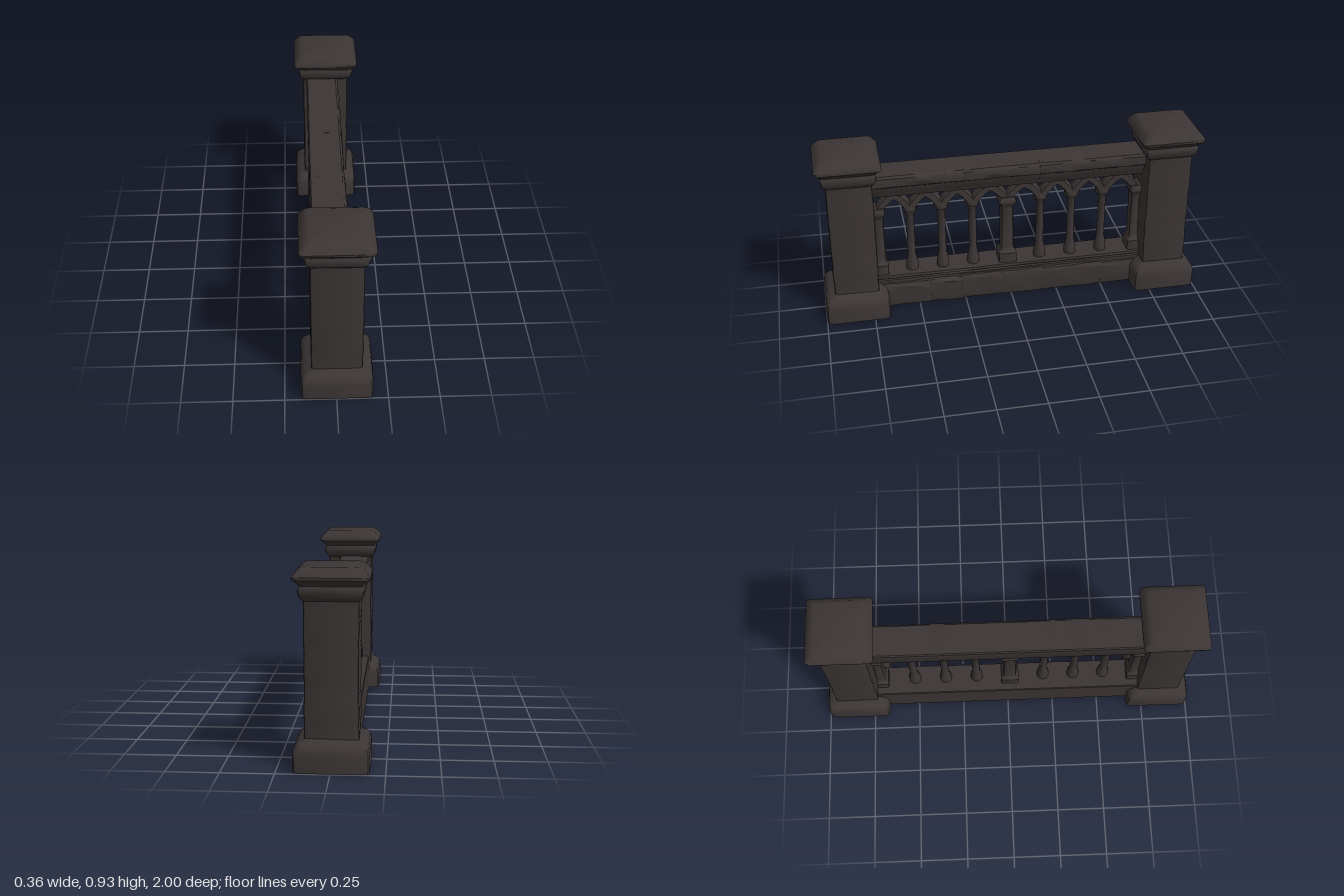
import * as THREE from 'three';
import { toCreasedNormals } from 'three/addons/utils/BufferGeometryUtils.js';

// small seeded random in -1..1
function makeRandom(seed) {
  let s = seed;
  return () => {
    s = (s * 16807) % 2147483647;
    return (s / 2147483647) * 2 - 1;
  };
}

// skin through rings of equal length, counter-clockwise about the direction of travel
function loft(rings, { crease = 0.55, closed = true, startCap = true, endCap = true } = {}) {
  const n = rings[0].length;
  const pos = rings.flat().flatMap((p) => [p.x, p.y, p.z]);
  const idx = [];
  for (let r = 0; r < rings.length - 1; r++) {
    for (let i = 0; i < (closed ? n : n - 1); i++) {
      const a = r * n + i, b = r * n + (i + 1) % n;
      idx.push(a, b, b + n, a, b + n, a + n);
    }
  }
  const addCap = (end, flip) => {
    const c = new THREE.Vector3();
    rings[end].forEach((p) => c.addScaledVector(p, 1 / n));
    const ci = pos.length / 3;
    pos.push(c.x, c.y, c.z);
    for (let i = 0; i < n; i++) {
      const a = end * n + i, b = end * n + (i + 1) % n;
      if (flip) idx.push(ci, b, a);
      else idx.push(ci, a, b);
    }
  };
  if (startCap) addCap(0, true);
  if (endCap) addCap(rings.length - 1, false);
  const g = new THREE.BufferGeometry();
  g.setAttribute('position', new THREE.Float32BufferAttribute(pos, 3));
  g.setIndex(idx);
  return toCreasedNormals(g, crease);
}

// square ring with softened corners at height y
function squareRing(y, hx, hz, cut, wobble = () => 0) {
  const pts = [];
  const corners = [[1, -1], [-1, -1], [-1, 1], [1, 1]];
  corners.forEach(([sx, sz], i) => {
    const a = [sx * hx, sz * (hz - cut)], b = [sx * (hx - cut), sz * hz];
    const m = [sx * (hx - cut * 0.3), sz * (hz - cut * 0.3)];
    const order = i % 2 === 0 ? [a, m, b] : [b, m, a];
    const w = wobble();
    order.forEach(([x, z]) => pts.push(new THREE.Vector3(x + sx * w, y, z + sz * w)));
  });
  return pts;
}

// solid from [height, half x, half z, corner cut] levels
const squareSolid = (levels, wobble, options) => loft(levels.map((l) => squareRing(...l, wobble)), options);

// bar along z: profile is [x, y, roughness], repeated between z0 and z1
function bar(profile, z0, z1, steps, rnd, options) {
  const rings = [];
  for (let s = 0; s <= steps; s++) {
    const z = z0 + ((z1 - z0) * s) / steps;
    rings.push(profile.map(([x, y, k]) => new THREE.Vector3(x - Math.abs(rnd()) * k, y + rnd() * k * 0.4, z)));
  }
  return loft(rings, options);
}

export function createModel() {
  const model = new THREE.Group();
  model.name = 'stoneBalustrade';
  const stone = new THREE.MeshStandardMaterial({ color: 0x3c3535, side: THREE.DoubleSide });
  stone.name = 'dark stone';
  const rnd = makeRandom(731);
  const add = (name, geometry, x = 0, y = 0, z = 0, parent = model) => {
    const mesh = new THREE.Mesh(geometry, stone);
    mesh.name = name;
    mesh.position.set(x, y, z);
    parent.add(mesh);
    return mesh;
  };

  // end pillars: hollow plinth open below, shaft and moulded cap
  for (const side of [1, -1]) {
    const pillar = new THREE.Group();
    pillar.name = side > 0 ? 'frontPillar' : 'backPillar';
    pillar.position.set(side * 0.003, 0, side * 0.832);
    model.add(pillar);
    add('plinth', squareSolid([
      [0, 0.175, 0.168, 0.024], [0.09, 0.175, 0.168, 0.026], [0.112, 0.169, 0.161, 0.028],
      [0.13, 0.155, 0.147, 0.025], [0.138, 0.138, 0.132, 0.02], [0.15, 0.124, 0.116, 0.012],
    ], () => rnd() * 0.002, { startCap: false, endCap: false, crease: 0.7 }), 0, 0, 0, pillar);
    const shaft = [];
    for (let y = 0.145; y < 0.81; y += 0.065) shaft.push([y, 0.125, 0.117, 0.012]);
    add('shaft', squareSolid(shaft, () => rnd() * 0.002, { startCap: false }), 0, 0, 0, pillar);
    add('cap', squareSolid([
      [0.775, 0.124, 0.116, 0.012], [0.788, 0.138, 0.13, 0.016], [0.805, 0.147, 0.138, 0.02],
      [0.83, 0.149, 0.14, 0.02], [0.845, 0.142, 0.134, 0.018], [0.857, 0.152, 0.144, 0.018],
      [0.875, 0.174, 0.166, 0.018], [0.887, 0.174, 0.166, 0.02], [0.908, 0.158, 0.15, 0.022],
      [0.922, 0.146, 0.138, 0.024], [0.93, 0.128, 0.12, 0.028],
    ], () => rnd() * 0.0015, { crease: 0.75 }), 0, 0, 0, pillar);
  }

  // handrail in worn blocks set end to end
  const railProfile = [
    [-0.11, 0.69, 0], [-0.085, 0.65, 0], [0.025, 0.65, 0], [0.035, 0.675, 0.003], [0.046, 0.692, 0.003],
    [0.05, 0.712, 0.003], [0.066, 0.722, 0.006], [0.071, 0.75, 0.006], [0.066, 0.771, 0.005],
    [0.054, 0.78, 0.002], [-0.104, 0.78, 0], [-0.11, 0.772, 0],
  ];
  const railCuts = [-0.74, -0.42, -0.15, 0.245, 0.74];
  for (let i = 0; i < railCuts.length - 1; i++) {
    add('handrail', bar(railProfile, railCuts[i], railCuts[i + 1], 5, rnd, { crease: 0.6 }));
  }

  // hollow bottom beam, open below, with a lip along its upper edge
  add('bottomBeam', bar([
    [0.05, 0, 0], [0.05, 0.155, 0.003], [0.042, 0.16, 0.002], [0.05, 0.166, 0.003],
    [0.047, 0.18, 0.002], [-0.106, 0.18, 0], [-0.11, 0.175, 0], [-0.11, 0, 0],
  ], -0.74, 0.74, 16, rnd, { closed: false, startCap: false, endCap: false }));

  // rough facing stones of uneven length on the left side
  const stoneCuts = [-0.72, -0.5, -0.17, 0.05, 0.27, 0.44, 0.72];
  for (let i = 0; i < stoneCuts.length - 1; i++) {
    const top = 0.138 + rnd() * 0.008;
    add('facingStone', bar([
      [0.046, 0, 0], [0.062, 0, 0.005], [0.068, 0.02, 0.006], [0.068, 0.08, 0.008],
      [0.069, top - 0.02, 0.008], [0.06, top, 0.006], [0.046, top + 0.004, 0],
    ], stoneCuts[i], stoneCuts[i + 1], 4, rnd, { crease: 0.45 }));
  }

  // round balusters with moulded foot and capital
  const cx = -0.02;
  const balusterProfile = [
    [0, 0.175], [0.033, 0.175], [0.033, 0.215], [0.028, 0.228], [0.028, 0.24], [0.021, 0.262],
    [0.021, 0.515], [0.027, 0.522], [0.027, 0.53], [0.038, 0.54], [0.04, 0.555], [0.034, 0.572], [0, 0.575],
  ].map(([r, y]) => new THREE.Vector2(r, y));
  const balusterGeometry = toCreasedNormals(new THREE.LatheGeometry(balusterProfile, 12), 0.7);
  const posts = [0.69, 0.525, 0.36, 0.195, 0.012, -0.17, -0.34, -0.51, -0.69];
  posts.forEach((z, i) => {
    if (i % 4) add('baluster', balusterGeometry, cx, 0, z);
  });

  // chamfered piers in the middle and against the pillars
  const pierGeometry = squareSolid([
    [0.175, 0.05, 0.048, 0.008], [0.235, 0.05, 0.048, 0.008], [0.25, 0.04, 0.04, 0.015], [0.265, 0.036, 0.036, 0.02],
    [0.51, 0.036, 0.034, 0.02], [0.525, 0.04, 0.038, 0.016], [0.542, 0.05, 0.047, 0.014],
    [0.558, 0.05, 0.047, 0.014], [0.575, 0.042, 0.038, 0.012],
  ]);
  for (const i of [0, 4, 8]) {
    const pier = add(i === 4 ? 'middlePier' : 'endPier', pierGeometry, cx, 0, posts[i]);
    if (i !== 4) pier.scale.z = 0.75;
  }

  // pointed arches between neighbouring posts
  for (let i = 0; i < posts.length - 1; i++) {
    const h = (posts[i] - posts[i + 1]) / 2;
    const o = h + 0.012, n = h - 0.026;
    const shape = new THREE.Shape();
    shape.moveTo(-o, 0.555);
    shape.quadraticCurveTo(-o + 0.022, 0.615, 0, 0.665);
    shape.quadraticCurveTo(o - 0.022, 0.615, o, 0.555);
    shape.lineTo(n, 0.555);
    shape.quadraticCurveTo(n - 0.012, 0.592, 0, 0.625);
    shape.quadraticCurveTo(-n + 0.012, 0.592, -n, 0.555);
    shape.closePath();
    const g = new THREE.ExtrudeGeometry(shape, {
      depth: 0.045, curveSegments: 8, bevelEnabled: true, bevelSize: 0.005, bevelThickness: 0.012, bevelSegments: 1,
    });
    g.translate(0, 0, -0.0225);
    g.rotateY(Math.PI / 2);
    add('arch', toCreasedNormals(g, 0.5), cx, 0, (posts[i] + posts[i + 1]) / 2);
  }

  return model;
}
